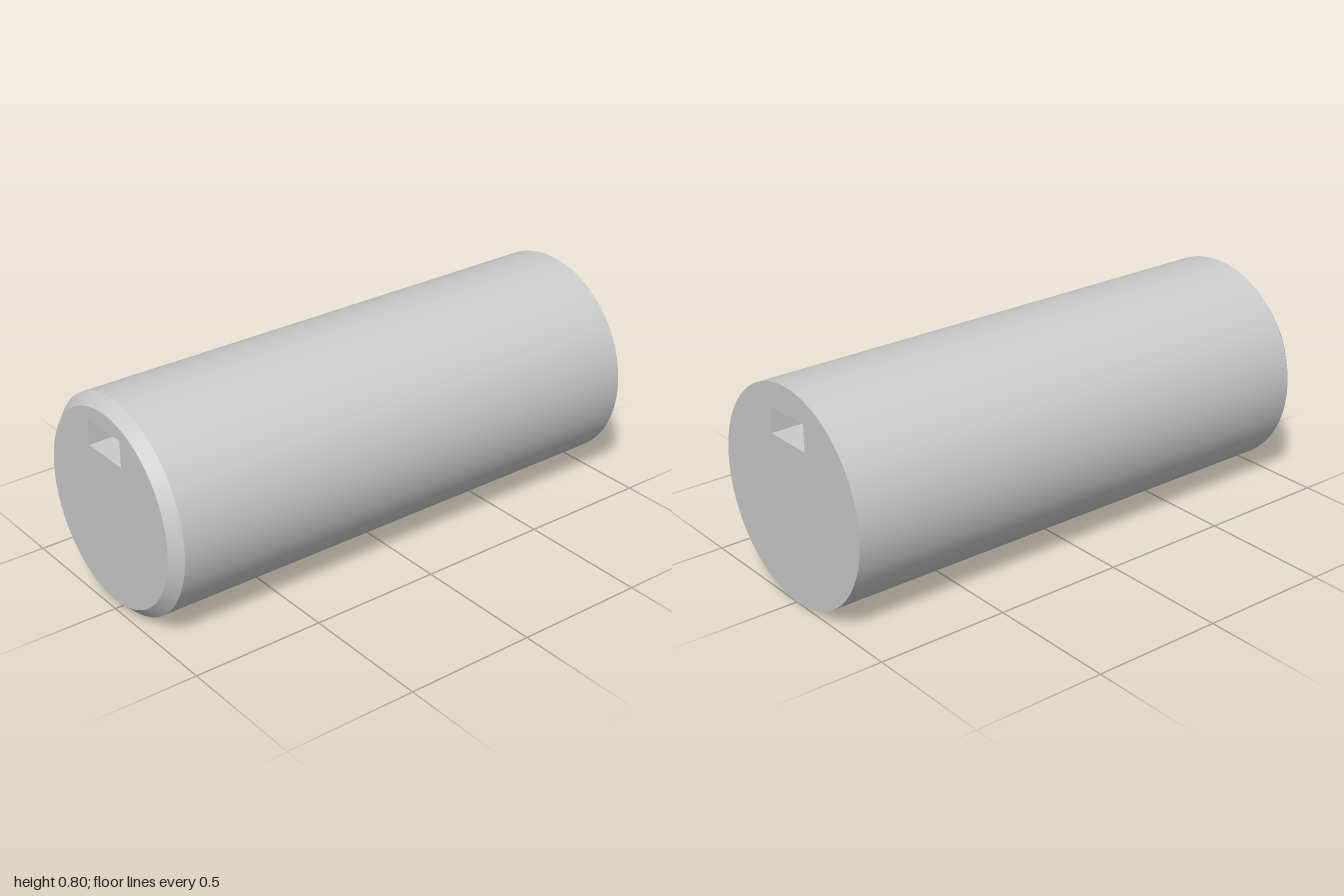
import * as THREE from 'three';

const R = 0.4, CHAMFER = 0.04, HALF = 1, SEG = 128;
const SLOT = { w: 0.2, h: 0.1, y: 0.25 }; // relative to the cylinder axis

export function createModel() {
  const group = new THREE.Group();
  const material = new THREE.MeshStandardMaterial({ color: 0xcccccc });
  const add = (name, geometry, parent = group) => {
    const mesh = new THREE.Mesh(geometry, material);
    mesh.name = name;
    parent.add(mesh);
    return mesh;
  };

  // Open tube sections along z, from z0 (radius r0) to z1 (radius r1)
  const section = (r0, r1, z0, z1) =>
    new THREE.CylinderGeometry(r1, r0, z1 - z0, SEG, 1, true)
      .rotateX(Math.PI / 2).translate(0, R, (z0 + z1) / 2);
  add('body', section(R, R, -HALF, HALF - CHAMFER));
  add('frontChamfer', section(R, R - CHAMFER, HALF - CHAMFER, HALF));

  // Round end face pierced by the rectangular slot
  const endFace = (r) => {
    const shape = new THREE.Shape().absarc(0, 0, r, 0, Math.PI * 2, false);
    const x = SLOT.w / 2, y0 = SLOT.y - SLOT.h / 2, y1 = SLOT.y + SLOT.h / 2;
    shape.holes.push(new THREE.Path([[-x, y0], [-x, y1], [x, y1], [x, y0]]
      .map(([px, py]) => new THREE.Vector2(px, py))));
    return new THREE.ShapeGeometry(shape, SEG);
  };
  add('frontFace', endFace(R - CHAMFER).translate(0, R, HALF));
  add('backFace', endFace(R).rotateY(Math.PI).translate(0, R, -HALF));

  // Four inward-facing walls of the slot running the full length
  const slot = new THREE.Group();
  slot.name = 'slot';
  slot.position.y = R + SLOT.y;
  group.add(slot);
  ['slotFloor', 'slotRightWall', 'slotCeiling', 'slotLeftWall'].forEach((name, i) => {
    const [width, offset] = i % 2 ? [SLOT.h, SLOT.w / 2] : [SLOT.w, SLOT.h / 2];
    add(name, new THREE.PlaneGeometry(width, 2 * HALF)
      .rotateX(-Math.PI / 2).translate(0, -offset, 0).rotateZ(-i * Math.PI / 2), slot);
  });

  return group;
}
